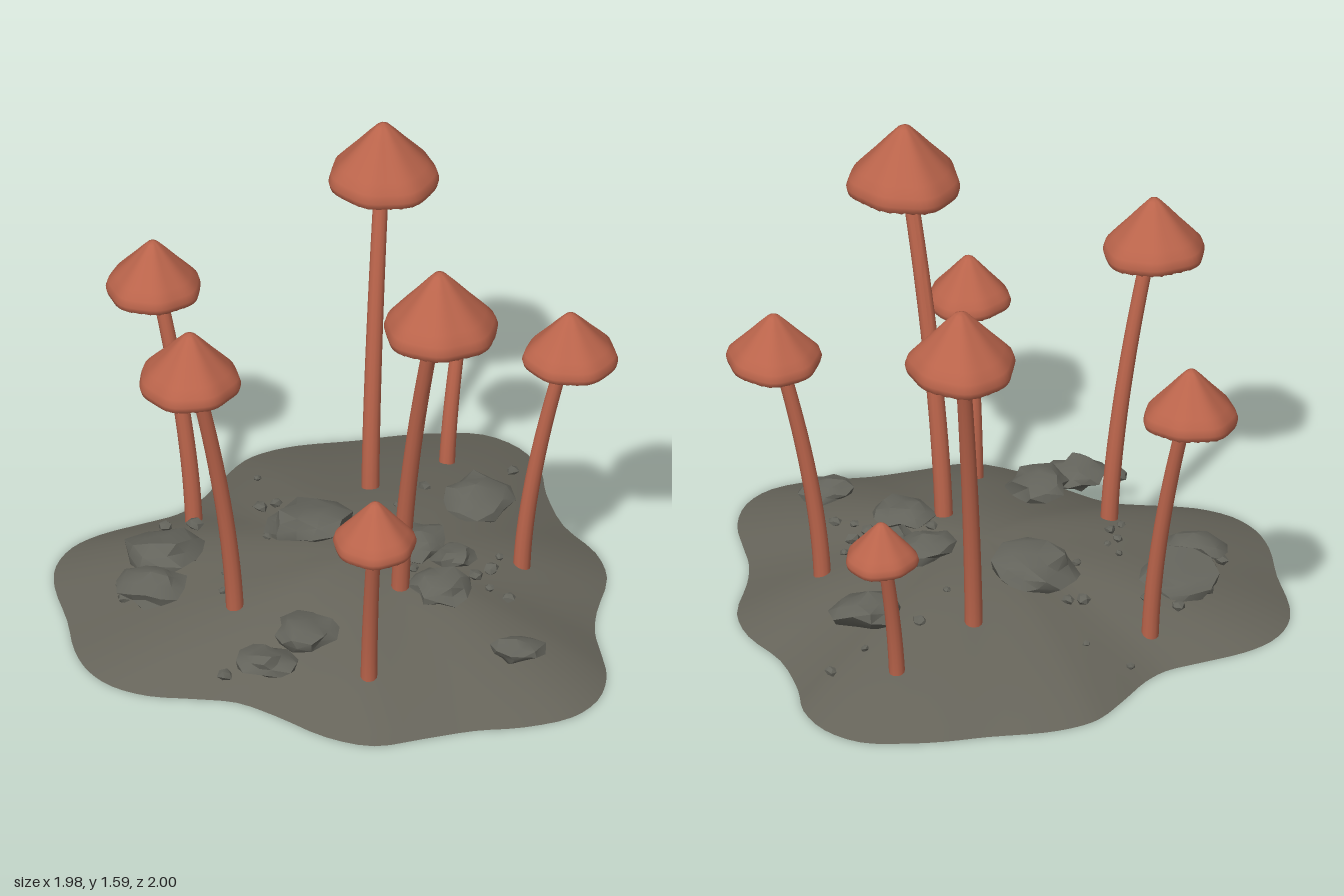
import * as THREE from 'three';
import { mergeVertices, toCreasedNormals } from 'three/addons/utils/BufferGeometryUtils.js';

const red = new THREE.MeshStandardMaterial({ color: 0xba644b });
red.name = 'mushroomRed';
const stone = new THREE.MeshStandardMaterial({ color: 0x63635b });
stone.name = 'stoneGrey';
const earth = new THREE.MeshStandardMaterial({ color: 0x66645a, side: THREE.DoubleSide });
earth.name = 'earthBrown';

let seed = 7;
function random() {
  seed = (seed * 16807) % 2147483647;
  return seed / 2147483647;
}

// Height of the gentle dome on which stones and stems sit
const dome = (x, z) => 0.21 * (1 - Math.pow(Math.hypot(x, z) / 1.15, 1.7));

// Moves every vertex by a rule and rebuilds smooth, seam-free normals
function reshape(geometry, rule) {
  geometry.deleteAttribute('uv');
  geometry.deleteAttribute('normal');
  const g = mergeVertices(geometry, 1e-5);
  const p = g.attributes.position;
  const v = new THREE.Vector3();
  for (let i = 0; i < p.count; i++) {
    rule(v.fromBufferAttribute(p, i));
    p.setXYZ(i, v.x, v.y, v.z);
  }
  g.computeVertexNormals();
  return g;
}

function add(group, name, geometry, material) {
  const mesh = new THREE.Mesh(geometry, material);
  mesh.name = name;
  group.add(mesh);
  return mesh;
}

// Mound: an open sheet of rings shrinking from an irregular outline
function moundGeometry() {
  const outline = [
    [-0.48, -1], [-0.33, -0.98], [-0.2, -0.91], [0, -0.84], [0.2, -0.83], [0.35, -0.77],
    [0.5, -0.62], [0.6, -0.54], [0.72, -0.48], [0.85, -0.41], [0.95, -0.3], [0.985, -0.17],
    [0.94, 0], [0.86, 0.15], [0.8, 0.32], [0.74, 0.48], [0.6, 0.58], [0.4, 0.64],
    [0.25, 0.7], [0.15, 0.8], [0.04, 0.92], [-0.08, 0.985], [-0.2, 0.995], [-0.33, 0.96],
    [-0.5, 0.87], [-0.7, 0.78], [-0.8, 0.7], [-0.86, 0.59], [-0.87, 0.47], [-0.84, 0.3],
    [-0.82, 0.18], [-0.84, 0.08], [-0.9, -0.05], [-0.96, -0.2], [-0.96, -0.29], [-0.93, -0.4],
    [-0.84, -0.58], [-0.78, -0.72], [-0.71, -0.84], [-0.62, -0.95],
  ].map(([x, z]) => new THREE.Vector3(x, 0, z));
  const edge = new THREE.CatmullRomCurve3(outline, true).getPoints(120).slice(0, 120);
  const n = edge.length, rings = 16, positions = [0, 0.21, 0], index = [];
  for (let r = 1; r <= rings; r++) {
    const t = r / rings;
    edge.forEach(({ x, z }) => {
      const bump = 0.006 * Math.sin(x * t * 9 + 1) * Math.sin(z * t * 8) * (1 - t);
      positions.push(x * t, 0.21 * (1 - Math.pow(t, 1.8)) + bump, z * t);
    });
    for (let i = 0; i < n; i++) {
      const j = (i + 1) % n, a = 1 + (r - 1) * n, b = a - n;
      if (r === 1) index.push(0, a + j, a + i);
      else index.push(b + i, a + j, a + i, b + i, b + j, a + j);
    }
  }
  const g = new THREE.BufferGeometry();
  g.setAttribute('position', new THREE.Float32BufferAttribute(positions, 3));
  g.setIndex(index);
  g.computeVertexNormals();
  return g;
}

// Cap: gilled underside, curled rim and softly lumpy cone
function capGeometry(radius, height, phase) {
  const gills = 28;
  const profile = [
    [0, 0.42], [0.15, 0.4], [0.5, 0.25], [0.82, 0.08], [0.91, 0], [0.97, 0.04], [1, 0.13],
    [0.95, 0.25], [0.8, 0.38], [0.55, 0.59], [0.3, 0.81], [0.12, 0.96], [0, 1],
  ].map(([r, y]) => new THREE.Vector2(r, y));
  const step = (Math.PI * 2) / (gills * 2);
  return reshape(new THREE.LatheGeometry(profile, gills * 2), (v) => {
    const r = Math.hypot(v.x, v.z), a = Math.atan2(v.x, v.z);
    const odd = Math.abs(Math.round(a / step)) % 2;
    const under = v.y < 0.42 && r < 0.93 && !(v.y > 0.3 && r > 0.7);
    if (under && r > 0.1 && odd) v.y += r > 0.88 ? 0.04 : 0.13;
    const lump = 1 + 0.025 * Math.sin(3 * a + phase) + 0.022 * Math.sin(7 * a + phase * 2);
    v.y += 0.02 * r * Math.sin(2 * a + phase);
    v.set(v.x * radius * lump, v.y * height, v.z * radius * lump);
  });
}

// Stem: a tapered cylinder leaning further out towards the cap
function stemGeometry(base, top, thickness) {
  const stem = new THREE.CylinderGeometry(thickness * 0.8, thickness, 1, 12, 20);
  stem.translate(0, 0.5, 0);
  const g = reshape(stem, (v) => {
    const lean = Math.pow(v.y, 1.6);
    v.x += base.x + (top.x - base.x) * lean;
    v.z += base.z + (top.z - base.z) * lean;
    v.y = THREE.MathUtils.lerp(base.y, top.y, v.y);
  });
  return toCreasedNormals(g, 0.9);
}

// Stone: a flattened ball with uneven corners
function stoneGeometry(radius, detail, rough, flat) {
  const g = reshape(new THREE.IcosahedronGeometry(1, detail), (v) => {
    v.multiplyScalar(radius * (1 + rough * (random() - 0.5)));
    v.y *= flat;
  });
  return toCreasedNormals(g, 0.6);
}

export function createModel() {
  const model = new THREE.Group();
  model.name = 'mushroomPatch';
  add(model, 'mound', moundGeometry(), earth);

  // cap x, cap z, apex y, rim y, cap radius, base x, base z
  [
    [-0.825, 0.28, 1.14, 0.93, 0.16, -0.67, 0.22],
    [-0.54, -0.475, 1.48, 1.235, 0.185, -0.385, -0.31],
    [-0.475, -0.76, 0.725, 0.56, 0.123, -0.43, -0.66],
    [-0.053, 0.68, 1.325, 1.1, 0.172, -0.06, 0.485],
    [0.465, 0.01, 1.59, 1.335, 0.192, 0.22, 0],
    [0.34, -0.625, 1.12, 0.92, 0.16, 0.25, -0.485],
    [0.622, 0.39, 0.89, 0.7, 0.14, 0.5, 0.33],
  ].forEach(([x, z, apex, rim, radius, bx, bz], i) => {
    const mushroom = new THREE.Group();
    mushroom.name = 'mushroom' + (i + 1);
    const height = apex - rim;
    add(mushroom, 'cap', capGeometry(radius, height, i * 1.7), red).position.set(x, rim, z);
    const base = new THREE.Vector3(bx, dome(bx, bz) - 0.08, bz);
    const top = new THREE.Vector3(x, rim + height * 0.5, z);
    add(mushroom, 'stem', stemGeometry(base, top, 0.022 + radius * 0.05), red);
    model.add(mushroom);
  });

  // Rocks: x, z, radius
  [
    [-0.27, 0.03, 0.135], [-0.11, -0.55, 0.12], [0.06, -0.2, 0.1], [0.18, -0.25, 0.07],
    [0.31, -0.11, 0.1], [0.69, -0.15, 0.085], [-0.49, 0.46, 0.13], [-0.36, 0.62, 0.105],
    [0.24, 0.41, 0.1], [0.27, 0.59, 0.095],
  ].forEach(([x, z, r], i) => {
    const rock = add(model, 'rock', stoneGeometry(r, 1, 0.5, 0.45), stone);
    rock.position.set(x, dome(x, z) + 0.01, z);
    rock.rotation.set(0.15 * Math.sin(i * 2), i, 0.15 * Math.cos(i * 3));
  });

  // Pebbles: x, z, radius
  [
    [-0.28, -0.83, 0.022], [-0.27, -0.68, 0.015], [-0.28, -0.46, 0.024], [-0.2, -0.29, 0.014],
    [0.29, -0.33, 0.027], [0.3, -0.26, 0.026], [0.38, -0.26, 0.017], [0.45, -0.29, 0.024],
    [0.17, -0.09, 0.022], [-0.69, -0.06, 0.014], [-0.47, 0.02, 0.021], [-0.49, 0.07, 0.025],
    [-0.85, 0.01, 0.015], [-0.3, 0.18, 0.016], [-0.57, 0.29, 0.03], [-0.64, 0.36, 0.025],
    [-0.31, 0.35, 0.014], [-0.24, 0.35, 0.014], [-0.22, 0.41, 0.018], [-0.16, 0.42, 0.02],
    [-0.14, 0.48, 0.016], [-0.59, 0.51, 0.03], [-0.44, 0.68, 0.026], [-0.38, 0.72, 0.024],
    [0.22, 0.73, 0.028], [0.24, -0.4, 0.015],
  ].forEach(([x, z, r], i) => {
    const pebble = add(model, 'pebble', stoneGeometry(r, 0, 0.4, 0.75), stone);
    pebble.position.set(x, dome(x, z) + 0.005, z);
    pebble.rotation.y = i;
  });
  return model;
}
